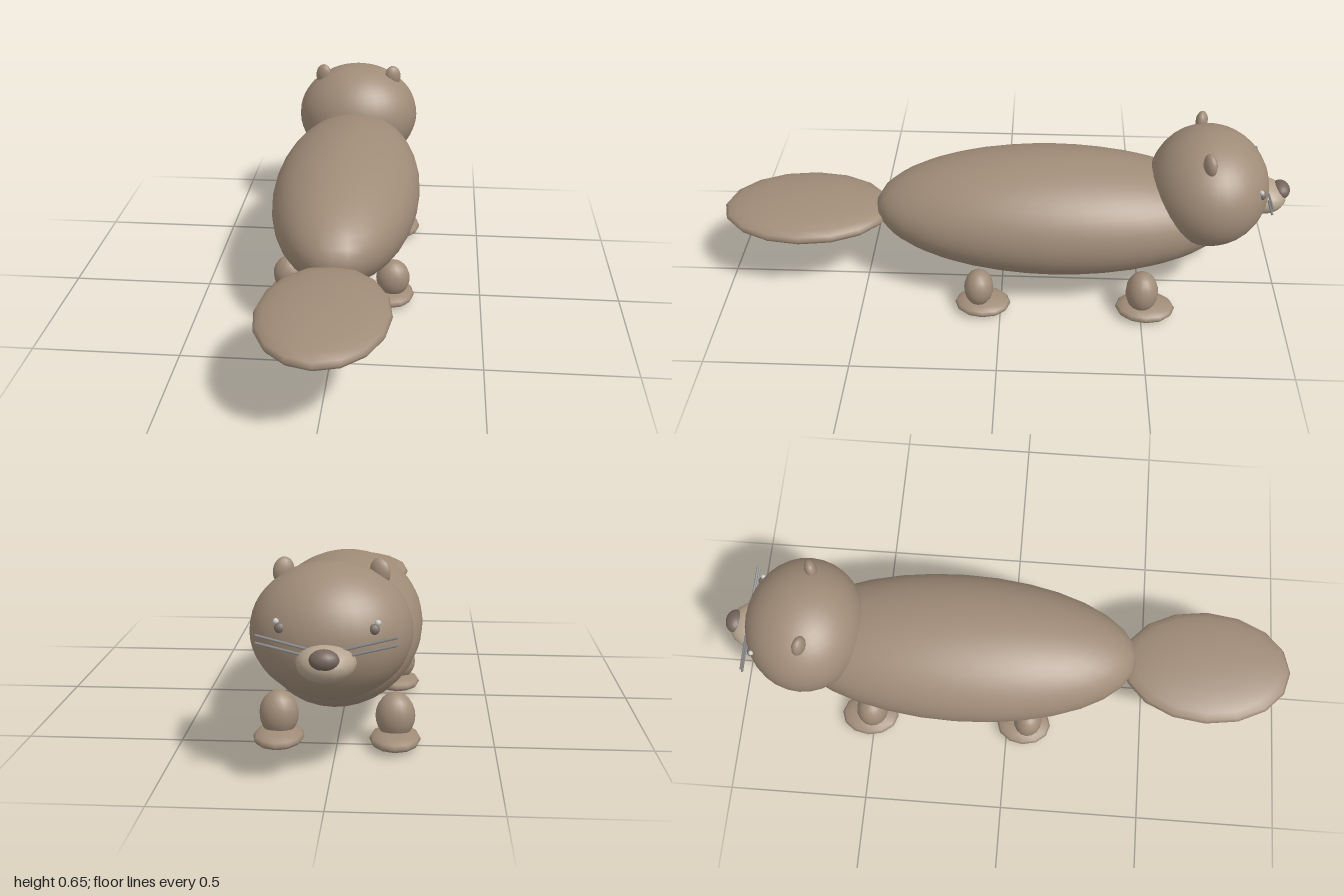
import * as THREE from 'three';

const fur = new THREE.MeshStandardMaterial({ color: 0xa08c78 });
const paleFur = new THREE.MeshStandardMaterial({ color: 0xb5a48f });
const noseSkin = new THREE.MeshStandardMaterial({ color: 0x75655c });
const eyeDark = new THREE.MeshStandardMaterial({ color: 0x7a6e66 });
const eyeWhite = new THREE.MeshStandardMaterial({ color: 0xf2f2f2 });
const hair = new THREE.MeshStandardMaterial({ color: 0x888888 });

export function createModel() {
  const model = new THREE.Group();
  model.name = 'beaver';

  // A smooth ellipsoid with the given centre and radii
  function ellipsoid(name, centre, radii, material = fur, segments = 16, rings = 12) {
    const mesh = new THREE.Mesh(new THREE.SphereGeometry(1, segments, rings), material);
    mesh.name = name;
    mesh.position.set(...centre);
    mesh.scale.set(...radii);
    model.add(mesh);
    return mesh;
  }

  // Trunk, head and flat paddle tail; the animal looks towards -z
  ellipsoid('body', [0, 0.32, -0.18], [0.268, 0.213, 0.63], fur, 32, 24);
  ellipsoid('head', [0, 0.44, -0.715], [0.238, 0.202, 0.207], fur, 32, 24);
  ellipsoid('tail', [0, 0.297, 0.7], [0.21, 0.051, 0.3]);

  // Muzzle and nose
  ellipsoid('muzzle', [0, 0.4, -0.905], [0.085, 0.055, 0.085], paleFur);
  ellipsoid('nose', [0, 0.425, -0.968], [0.042, 0.03, 0.032], noseSkin);

  for (const side of [-1, 1]) {
    const label = side > 0 ? 'left' : 'right';

    // Ears, leaning and turned slightly outwards
    const ear = ellipsoid(label + 'Ear', [side * 0.14, 0.608, -0.69], [0.032, 0.041, 0.021], fur, 12, 10);
    ear.rotation.set(0, side * 0.35, side * 0.15);

    // Eyes with a small highlight
    ellipsoid(label + 'Eye', [side * 0.13, 0.488, -0.877], [0.016, 0.016, 0.014], eyeDark, 12, 8);
    ellipsoid(label + 'EyeHighlight', [side * 0.141, 0.505, -0.872], [0.009, 0.009, 0.009], eyeWhite, 8, 6);

    // Front and hind legs with flat feet
    ellipsoid(label + 'FrontLeg', [side * 0.185, 0.1, -0.5], [0.063, 0.077, 0.057]);
    ellipsoid(label + 'FrontFoot', [side * 0.185, 0.029, -0.515], [0.082, 0.029, 0.105], fur, 12, 8);
    ellipsoid(label + 'HindLeg', [side * 0.185, 0.1, 0.077], [0.06, 0.068, 0.052]);
    ellipsoid(label + 'HindFoot', [side * 0.182, 0.029, 0.063], [0.079, 0.027, 0.099], fur, 12, 8);

    // Whiskers, sweeping out and up
    for (let i = 0; i < 2; i++) {
      const path = new THREE.LineCurve3(
        new THREE.Vector3(side * 0.05, 0.42 + i * 0.02, -0.917),
        new THREE.Vector3(side * 0.195, 0.452 + i * 0.022, -0.906)
      );
      const whisker = new THREE.Mesh(new THREE.TubeGeometry(path, 1, 0.004, 6), hair);
      whisker.name = label + 'Whisker';
      model.add(whisker);
    }
  }
  return model;
}
